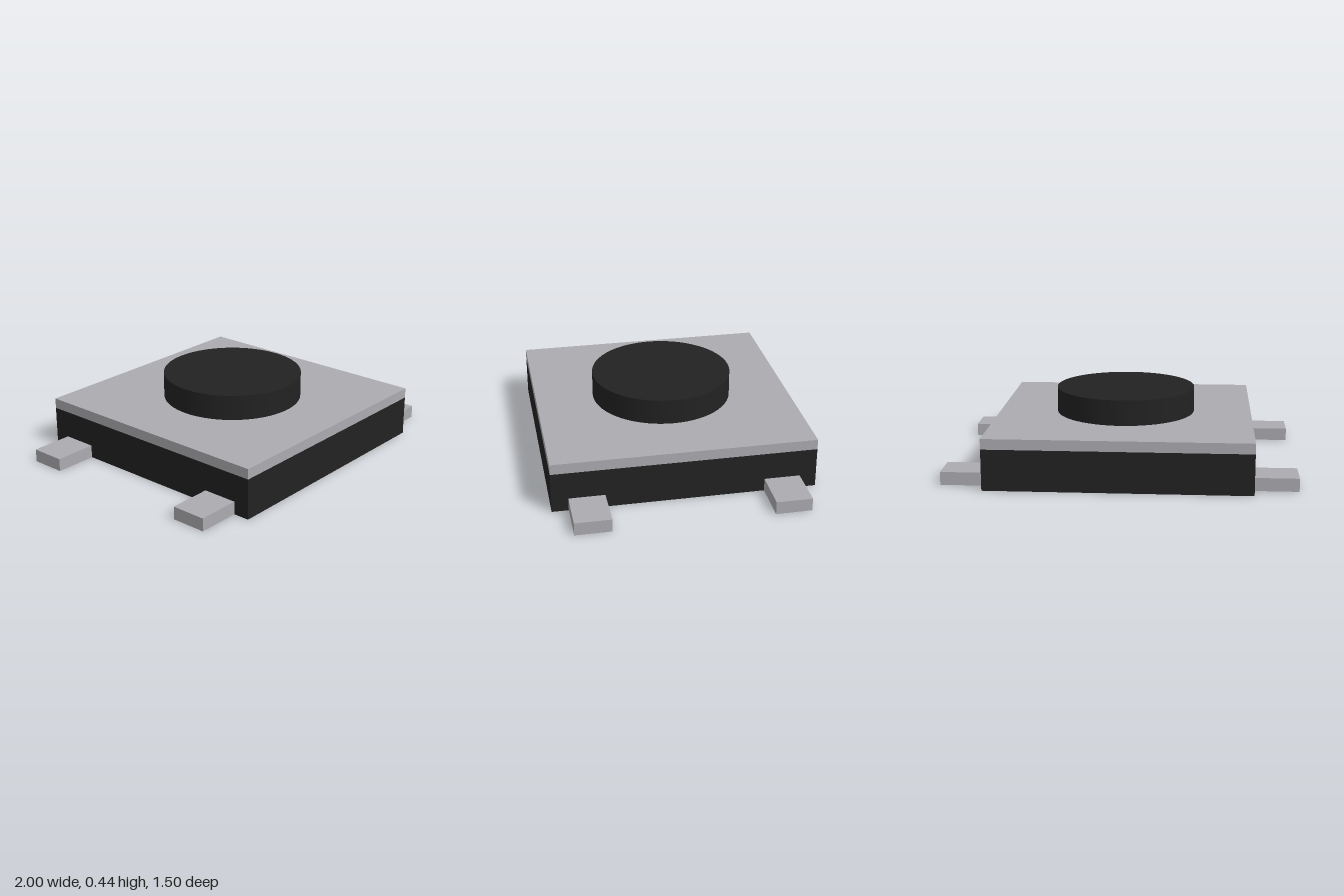
import * as THREE from 'three';

export function createModel() {
  const group = new THREE.Group();
  const black = new THREE.MeshStandardMaterial({ name: 'black plastic', color: 0x222222 });
  const metal = new THREE.MeshStandardMaterial({ name: 'grey metal', color: 0xacabb0 });

  function add(name, geometry, material, x, y, z) {
    const mesh = new THREE.Mesh(geometry, material);
    mesh.name = name;
    mesh.position.set(x, y, z);
    group.add(mesh);
  }

  // Square housing with a metal cover plate of the same outline
  const width = 1.5, bodyTop = 0.235, coverTop = 0.295, buttonTop = 0.443;
  add('housing', new THREE.BoxGeometry(width, bodyTop, width), black, 0, bodyTop / 2, 0);
  add('coverPlate', new THREE.BoxGeometry(width, coverTop - bodyTop, width), metal,
    0, (bodyTop + coverTop) / 2, 0);

  // Round push button
  add('button', new THREE.CylinderGeometry(0.41, 0.41, buttonTop - coverTop, 64), black,
    0, (coverTop + buttonTop) / 2, 0);

  // Four contact legs, two on each side
  const leg = new THREE.BoxGeometry(0.25, 0.075, 0.205);
  for (const [side, sx] of [['Left', 1], ['Right', -1]]) {
    for (const [end, sz] of [['front', 1], ['back', -1]]) {
      add(end + side + 'Leg', leg, metal, sx * 0.875, 0.0375, sz * 0.553);
    }
  }
  return group;
}
